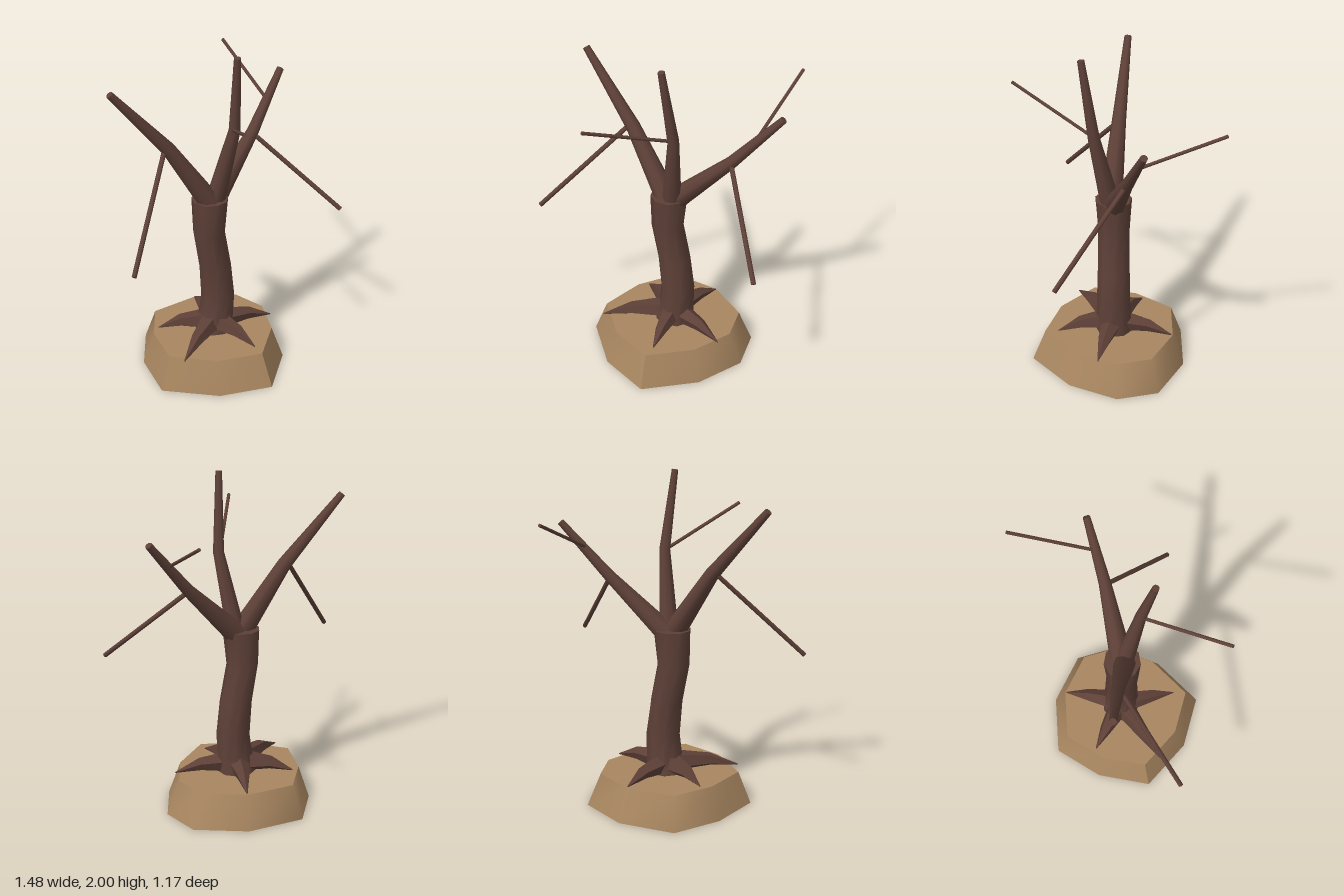
import * as THREE from 'three';
import { toCreasedNormals } from 'three/addons/utils/BufferGeometryUtils.js';

const V = (p) => new THREE.Vector3(...p);

// Skin a stack of counter-clockwise rings, with optional end caps
function skin(rings, capStart = true, capEnd = true) {
  const n = rings[0].length;
  const pos = rings.flat().flatMap((p) => p.toArray());
  const idx = [];
  for (let k = 0; k < rings.length - 1; k++) {
    for (let i = 0; i < n; i++) {
      const a = k * n + i, b = k * n + (i + 1) % n;
      idx.push(a, b, b + n, a, b + n, a + n);
    }
  }
  const last = (rings.length - 1) * n;
  for (let i = 1; i < n - 1; i++) {
    if (capStart) idx.push(0, i + 1, i);
    if (capEnd) idx.push(last, last + i, last + i + 1);
  }
  const geo = new THREE.BufferGeometry();
  geo.setAttribute('position', new THREE.Float32BufferAttribute(pos, 3));
  geo.setIndex(idx);
  return toCreasedNormals(geo, 0.9);
}

// Tapered limb along a bent path; level keeps the rings horizontal
function limb(points, radii, sides, { level = false, twist = 0 } = {}) {
  const pts = points.map(V);
  const rings = pts.map((c, k) => {
    const t = level ? new THREE.Vector3(0, 1, 0)
      : pts[Math.min(k + 1, pts.length - 1)].clone().sub(pts[Math.max(k - 1, 0)]).normalize();
    const ref = Math.abs(t.z) > 0.8 ? new THREE.Vector3(1, 0, 0) : new THREE.Vector3(0, 0, 1);
    const u = ref.cross(t).normalize();
    const v = t.clone().cross(u);
    return Array.from({ length: sides }, (_, i) => {
      const a = (i / sides) * Math.PI * 2 + twist * k;
      return c.clone()
        .addScaledVector(u, Math.cos(a) * radii[k])
        .addScaledVector(v, Math.sin(a) * radii[k]);
    });
  });
  return skin(rings);
}

export function createModel() {
  const tree = new THREE.Group();
  tree.name = 'bareTree';
  const bark = new THREE.MeshStandardMaterial({ color: 0x5d4037 });
  bark.name = 'bark';
  const soil = new THREE.MeshStandardMaterial({ color: 0xa88660, side: THREE.DoubleSide });
  soil.name = 'soil';

  const add = (name, geo, mat = bark) => {
    const mesh = new THREE.Mesh(geo, mat);
    mesh.name = name;
    tree.add(mesh);
  };

  // Hollow irregular mound, open underneath
  const outline = [
    [-0.18, -0.43], [0.17, -0.42], [0.45, -0.25], [0.5, 0], [0.36, 0.28],
    [0.085, 0.505], [-0.22, 0.39], [-0.46, 0.135], [-0.37, -0.18],
  ].reverse();
  const moundRing = (y, s) => outline.map(([x, z]) => new THREE.Vector3(x * s, y, z * s));
  add('mound', skin([moundRing(0, 1), moundRing(0.2, 0.84)], false, true), soil);

  // Crooked trunk, flared at the foot
  add('trunk', limb(
    [[0, 0, 0], [0.04, 0.22, 0], [0.06, 0.43, 0.005], [0.038, 0.64, 0.005], [-0.008, 0.87, 0.005], [0, 1.09, 0.005]],
    [0.18, 0.112, 0.102, 0.097, 0.096, 0.11], 9, { level: true, twist: 0.12 }));

  // Roots arching out over the mound
  const rootTips = [[0.395, 0.11], [0.08, 0.345], [-0.35, 0.215], [-0.25, -0.185], [0.145, -0.345]];
  for (const [x, z] of rootTips) {
    const cx = 0.03;
    const at = (f, y) => [cx + (x - cx) * f, y, z * f];
    add('root', limb([at(0.1, 0.255), at(0.6, 0.25), at(1, 0.205)], [0.068, 0.04, 0.003], 5));
  }

  // Three main branches, each with one bend
  add('rightBranch', limb([[0.0, 1.06, 0.02], [-0.262, 1.46, -0.035], [-0.605, 1.855, -0.1]], [0.068, 0.042, 0.021], 8));
  add('leftBranch', limb([[0.04, 1.07, 0.0], [0.37, 1.395, -0.06], [0.64, 1.71, -0.135]], [0.066, 0.036, 0.021], 8));
  add('frontBranch', limb([[0.025, 1.06, 0.02], [0.09, 1.54, 0.118], [0.052, 2, 0.185]], [0.06, 0.034, 0.02], 8));

  // Thin straight twigs
  const twigs = [
    ['rightTwig', [-0.29, 1.455, -0.04], [-0.73, 0.935, 0.275], 0.014],
    ['leftLowerTwig', [0.36, 1.395, -0.06], [0.725, 0.935, 0.35], 0.014],
    ['leftUpperTwig', [0.5, 1.565, -0.1], [0.55, 1.785, -0.58], 0.01],
    ['frontTwig', [0.08, 1.54, 0.12], [-0.213, 1.75, 0.578], 0.01],
  ];
  for (const [name, a, b, r] of twigs) add(name, limb([a, b], [r, r], 8));

  return tree;
}
